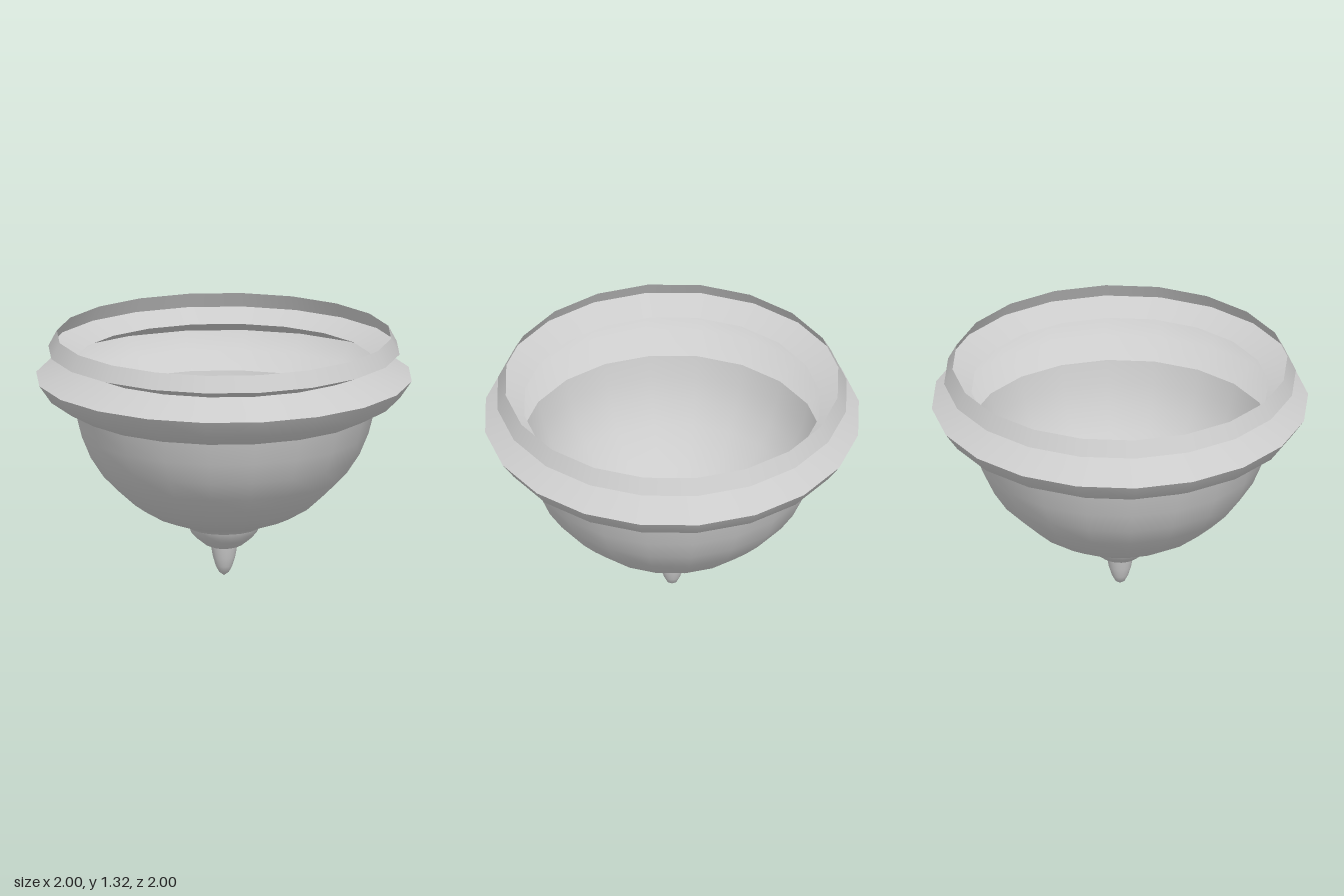
import * as THREE from 'three';

const SIDES = 20;
const material = new THREE.MeshStandardMaterial({ color: 0xcccccc, side: THREE.DoubleSide });

// Turned shell from [radius, height] pairs, listed bottom to top
function turned(name, profile) {
  const points = profile.map(([r, y]) => new THREE.Vector2(r, y));
  const mesh = new THREE.Mesh(new THREE.LatheGeometry(points, SIDES), material);
  mesh.name = name;
  return mesh;
}

export function createModel() {
  const group = new THREE.Group();
  group.name = 'bowlWithFinial';

  // Separate shells keep the creases between the mouldings sharp
  group.add(
    turned('finialTip', [[0, 0], [0.027, 0.02], [0.045, 0.055], [0.06, 0.105], [0.07, 0.16]]),
    turned('finialKnob', [[0.07, 0.16], [0.1, 0.172], [0.15, 0.212], [0.175, 0.24], [0.187, 0.267]]),
    turned('knobCollar', [[0.187, 0.267], [0.21, 0.283], [0.257, 0.3]]),
    turned('bowl', [
      [0, 0.275], [0.13, 0.281], [0.257, 0.3], [0.374, 0.342], [0.481, 0.406], [0.567, 0.485],
      [0.652, 0.572], [0.722, 0.68], [0.77, 0.797], [0.8, 0.915],
    ]),
    // Flared ring, narrow neck and rim
    turned('ringUnderside', [[0.8, 0.915], [0.935, 0.99], [1, 1.085]]),
    turned('ringTop', [[1, 1.085], [0.79, 1.172]]),
    turned('rimUnderside', [[0.79, 1.172], [0.935, 1.23]]),
    turned('rimBand', [[0.935, 1.23], [0.89, 1.315]]),
  );
  return group;
}
